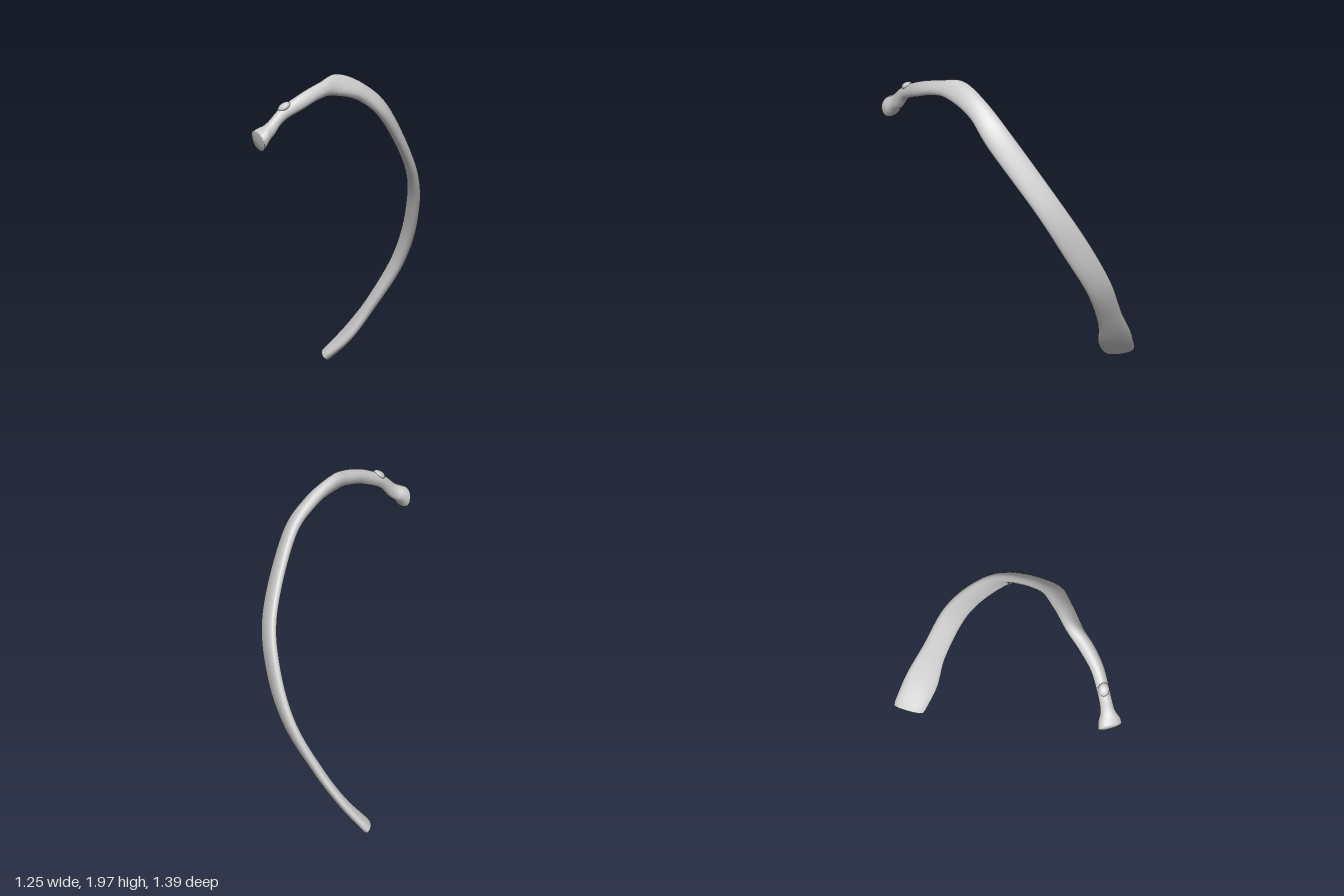
import * as THREE from 'three';

// Stations along the bone: upper edge (x, y, z), lower edge (x, y, z), half thickness
const STATIONS = [
  [-0.622, 1.69, 0.63, -0.595, 1.56, 0.60, 0.078],
  [-0.585, 1.71, 0.62, -0.555, 1.61, 0.60, 0.072],
  [-0.535, 1.745, 0.595, -0.50, 1.66, 0.61, 0.046],
  [-0.45, 1.825, 0.57, -0.43, 1.745, 0.60, 0.04],
  [-0.30, 1.91, 0.53, -0.30, 1.81, 0.57, 0.043],
  [-0.17, 1.957, 0.46, -0.18, 1.86, 0.52, 0.048],
  [-0.04, 1.988, 0.37, -0.07, 1.872, 0.47, 0.045],
  [0.13, 1.91, 0.295, 0.13, 1.82, 0.41, 0.044],
  [0.32, 1.735, 0.196, 0.305, 1.66, 0.35, 0.04],
  [0.53, 1.34, -0.03, 0.53, 1.28, 0.133, 0.036],
  [0.582, 1.04, -0.205, 0.578, 0.96, -0.045, 0.037],
  [0.55, 0.73, -0.37, 0.53, 0.66, -0.22, 0.036],
  [0.43, 0.44, -0.50, 0.375, 0.365, -0.36, 0.034],
  [0.31, 0.235, -0.615, 0.245, 0.17, -0.42, 0.034],
  [0.18, 0.06, -0.70, 0.12, 0.042, -0.51, 0.035],
];
const STEPS = 112, SIDES = 24;

const curveOf = (pick) => new THREE.CatmullRomCurve3(
  STATIONS.map((s) => new THREE.Vector3(...pick(s))), false, 'catmullrom', 0.5);

// Sweep a rounded oval whose long axis joins the two edge curves
function ribShaft() {
  const upper = curveOf((s) => s.slice(0, 3));
  const lower = curveOf((s) => s.slice(3, 6));
  const half = curveOf((s) => [s[6], 0, 0]);
  const middle = (t) => upper.getPoint(t).add(lower.getPoint(t)).multiplyScalar(0.5);
  const pos = [], index = [];
  let rings = 0;

  const addRing = (t, scale, push = 0) => {
    const c = middle(t);
    const tangent = middle(Math.min(1, t + 0.004)).sub(middle(Math.max(0, t - 0.004))).normalize();
    const wide = upper.getPoint(t).sub(c);
    const thin = tangent.clone().cross(wide).normalize().multiplyScalar(half.getPoint(t).x);
    c.addScaledVector(tangent, push);
    for (let j = 0; j < SIDES; j++) {
      const a = (j / SIDES) * Math.PI * 2, cs = Math.cos(a), sn = Math.sin(a);
      const p = c.clone()
        .addScaledVector(wide, scale * Math.sign(cs) * Math.abs(cs) ** 0.9)
        .addScaledVector(thin, scale * Math.sign(sn) * Math.abs(sn) ** 0.9);
      pos.push(p.x, p.y, p.z);
    }
    return rings++;
  };
  const join = (r) => {
    for (let j = 0; j < SIDES; j++) {
      const k = (j + 1) % SIDES;
      const a = r * SIDES + j, b = r * SIDES + k;
      index.push(a, b, a + SIDES, b, b + SIDES, a + SIDES);
    }
  };

  // Rounded head, shaft, then a bevelled front end
  addRing(0, 0.001, -0.006);
  addRing(0, 0.5, -0.004);
  addRing(0, 0.85, 0.003);
  for (let i = 1; i <= STEPS; i++) addRing(i / STEPS, i === STEPS ? 0.95 : 1);
  for (let r = 0; r < rings - 1; r++) join(r);

  // Flat end face with its own vertices, so its rim stays sharp
  const rim = addRing(1, 0.95);
  addRing(1, 0.001, -0.008);
  join(rim);

  const g = new THREE.BufferGeometry();
  g.setAttribute('position', new THREE.Float32BufferAttribute(pos, 3));
  g.setIndex(index);
  g.computeVertexNormals();
  return g;
}

export function createModel() {
  const group = new THREE.Group();
  group.name = 'rib';
  const bone = new THREE.MeshStandardMaterial({ color: 0xcccccc });

  const shaft = new THREE.Mesh(ribShaft(), bone);
  shaft.name = 'ribShaft';
  group.add(shaft);

  // Small knob on the neck
  const tubercle = new THREE.Mesh(new THREE.SphereGeometry(1, 16, 12), bone);
  tubercle.name = 'tubercle';
  tubercle.scale.set(0.045, 0.026, 0.036);
  tubercle.position.set(-0.428, 1.832, 0.583);
  tubercle.rotation.z = 0.6;
  group.add(tubercle);

  return group;
}
